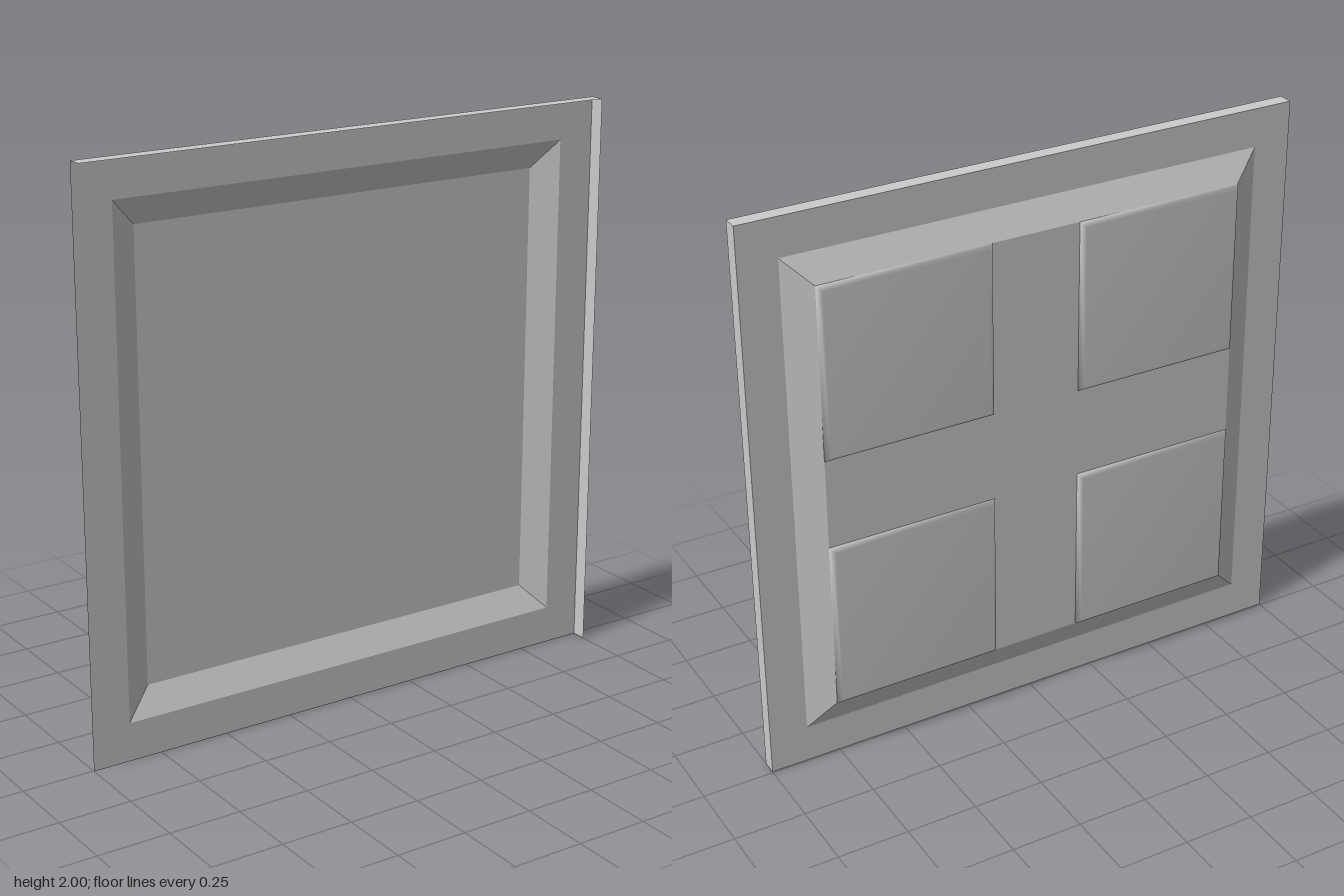
import * as THREE from 'three';

// Nested square rings [half size, z], from outside to inside, closed by a flat cap facing +z
function squareLoft(rings, smooth) {
  const pos = [], index = [];
  for (const [h, z] of rings) pos.push(-h, -h, z, h, -h, z, h, h, z, -h, h, z);
  for (let r = 0; r < rings.length - 1; r++) {
    for (let i = 0; i < 4; i++) {
      const a = r * 4 + i, b = r * 4 + (i + 1) % 4;
      index.push(a, b, b + 4, a, b + 4, a + 4);
    }
  }
  const c = (rings.length - 1) * 4;
  index.push(c, c + 1, c + 2, c, c + 2, c + 3);
  let geo = new THREE.BufferGeometry();
  geo.setAttribute('position', new THREE.Float32BufferAttribute(pos, 3));
  geo.setIndex(index);
  if (!smooth) geo = geo.toNonIndexed();
  geo.computeVertexNormals();
  return geo;
}

export function createModel() {
  const group = new THREE.Group();
  const mat = new THREE.MeshStandardMaterial({ color: 0xcccccc, side: THREE.DoubleSide });
  const add = (name, geo, x, y, z) => {
    const mesh = new THREE.Mesh(geo, mat);
    mesh.name = name;
    mesh.position.set(x, y, z);
    group.add(mesh);
    return mesh;
  };

  const FLANGE_Z = 0.004, FIELD_Z = -0.041, LIP_Z = 0.057;

  // Pressed sheet: flat rim, sloped step, recessed field
  add('sheet', squareLoft([[1, FLANGE_Z], [0.865, FLANGE_Z], [0.77, FIELD_Z]], false), 0, 1, 0);

  // Thin lips folded forward along the top and left edges
  const depth = LIP_Z - FLANGE_Z, midZ = (LIP_Z + FLANGE_Z) / 2;
  add('topLip', new THREE.PlaneGeometry(2, depth).rotateX(-Math.PI / 2), 0, 2, midZ);
  add('leftLip', new THREE.PlaneGeometry(depth, 2).rotateY(Math.PI / 2), 1, 1, midZ);

  // Four raised pads with softened edges on the back
  const pad = squareLoft([[0.305, 0], [0.302, 0.006], [0.288, 0.015]], true).rotateY(Math.PI);
  for (const sx of [-1, 1]) {
    for (const sy of [-1, 1]) {
      add('backPad', pad, sx * 0.465, 1 + sy * 0.465, FIELD_Z);
    }
  }
  return group;
}
